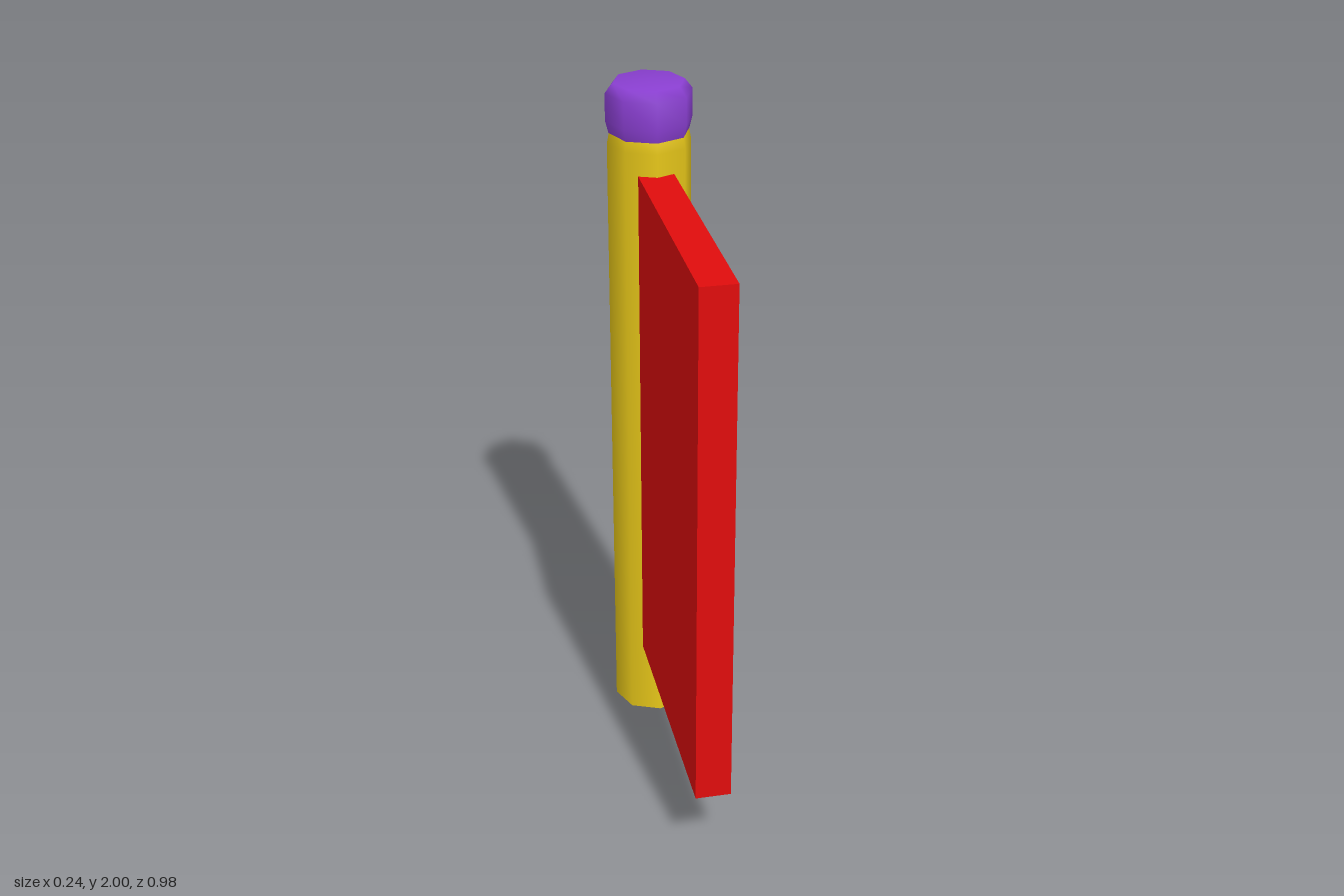
import * as THREE from 'three';

const POLE_Z = -0.37;

// Eight-sided smooth turned part; a repeated profile point makes a sharp edge.
function turned(name, color, profile) {
  const points = profile.map(([r, y]) => new THREE.Vector2(r, y));
  const mesh = new THREE.Mesh(
    new THREE.LatheGeometry(points, 8),
    new THREE.MeshStandardMaterial({ color })
  );
  mesh.name = name;
  mesh.position.z = POLE_Z;
  return mesh;
}

export function createModel() {
  const group = new THREE.Group();
  group.name = 'flagOnPole';

  // Pole with flat ends and a slightly narrowed top
  group.add(turned('pole', 0xe6c619, [
    [0, 0], [0.118, 0], [0.118, 0], [0.118, 1.83], [0.111, 1.865], [0.111, 1.865], [0, 1.865],
  ]));

  // Rounded cap on the pole
  group.add(turned('cap', 0x8a3fd1, [
    [0, 1.86], [0.113, 1.86], [0.113, 1.86], [0.122, 1.895], [0.122, 1.972], [0.1, 2], [0, 2],
  ]));

  // Flag panel, its rear edge sunk into the pole
  const front = 0.49, back = -0.36, bottom = 0.23, top = 1.765;
  const flag = new THREE.Mesh(
    new THREE.BoxGeometry(0.1, top - bottom, front - back),
    new THREE.MeshStandardMaterial({ color: 0xe00c0c })
  );
  flag.name = 'flag';
  flag.position.set(0, (top + bottom) / 2, (front + back) / 2);
  group.add(flag);

  return group;
}
